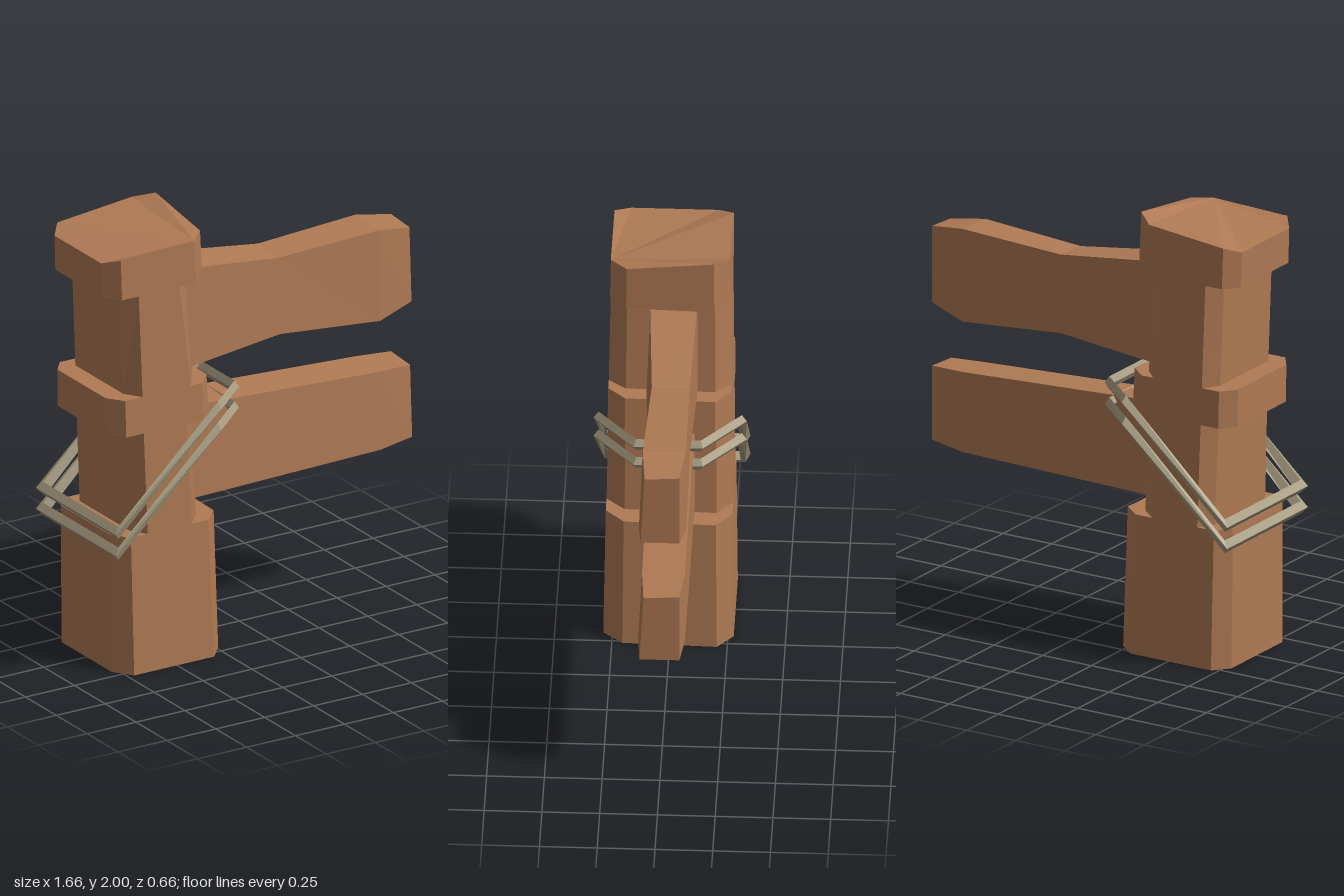
import * as THREE from 'three';

const wood = new THREE.MeshStandardMaterial({ color: 0xb07a54 });
wood.name = 'wood';
const cord = new THREE.MeshStandardMaterial({ color: 0xa59a7f });
cord.name = 'cord';

// Joins matching rings of points with flat faces; rings run counterclockwise seen from the far end.
function loft(name, rings, material, closed = false) {
  const pos = [];
  const tri = (a, b, c) => pos.push(...a, ...b, ...c);
  const n = rings[0].length;
  const last = closed ? rings.length : rings.length - 1;
  for (let r = 0; r < last; r++) {
    const a = rings[r], b = rings[(r + 1) % rings.length];
    for (let i = 0; i < n; i++) {
      const j = (i + 1) % n;
      tri(a[i], a[j], b[j]);
      tri(a[i], b[j], b[i]);
    }
  }
  if (!closed) {
    const a = rings[0], b = rings[rings.length - 1];
    for (let i = 1; i < n - 1; i++) {
      tri(a[0], a[i + 1], a[i]);
      tri(b[0], b[i], b[i + 1]);
    }
  }
  const geo = new THREE.BufferGeometry();
  geo.setAttribute('position', new THREE.Float32BufferAttribute(pos, 3));
  geo.computeVertexNormals();
  const mesh = new THREE.Mesh(geo, material);
  mesh.name = name;
  return mesh;
}

// Chamfered post section: x of left edge, flat start, flat end, right edge
function postRing(y, [x0, x1, x2, x3], lift = [0, 0, 0, 0, 0, 0, 0, 0]) {
  const f = 0.29 - 0.015 * y, b = -0.275 + 0.01 * y, c = 0.205 - 0.008 * y;
  return [
    [x2, f], [x3 - 0.012, c], [x3, -c], [x2 + 0.005, b],
    [x1, b], [x0, -c], [x0, c], [x1, f],
  ].map(([x, z], i) => [x, y + lift[i], z]);
}

// Four-sided beam section
const beamRing = ([x, low, high, front, back]) => [
  [x, low, front], [x, low, back], [x, high, back], [x, high - 0.01, front - 0.017],
];

export function createModel() {
  const model = new THREE.Group();
  model.name = 'signpost';

  // Post: blocks and notches stacked from the ground up
  const parts = [
    ['postBase', 0, [-0.78, -0.72, -0.31, -0.225], 0.64, [-0.785, -0.73, -0.335, -0.245]],
    ['lowerNotch', 0.64, [-0.69, -0.645, -0.42, -0.335], 1.11, [-0.71, -0.66, -0.44, -0.36]],
    ['middleBlock', 1.11, [-0.805, -0.75, -0.355, -0.27], 1.28, [-0.807, -0.753, -0.36, -0.278]],
    ['upperNotch', 1.28, [-0.715, -0.665, -0.42, -0.35], 1.75, [-0.735, -0.68, -0.47, -0.385]],
  ];
  for (const [name, y0, xs0, y1, xs1] of parts) {
    model.add(loft(name, [postRing(y0, xs0), postRing(y1, xs1)], wood));
  }
  // Cap with an uneven cut top
  model.add(loft('postCap', [
    postRing(1.75, [-0.82, -0.765, -0.385, -0.298]),
    postRing(1.94, [-0.825, -0.77, -0.395, -0.308],
      [0.007, 0.015, 0.06, 0.035, -0.003, -0.03, -0.03, -0.005]),
  ], wood));

  // Boards: x, bottom, top, front z, back z
  model.add(loft('upperBoard', [
    [-0.42, 1.285, 1.758, 0.105, -0.115],
    [-0.3, 1.29, 1.75, 0.103, -0.115],
    [0.16, 1.33, 1.69, 0.077, -0.105],
    [0.66, 1.29, 1.715, 0.095, -0.11],
    [0.83, 1.34, 1.69, 0.08, -0.088],
  ].map(beamRing), wood));
  model.add(loft('lowerBoard', [
    [-0.44, 0.67, 1.115, 0.103, -0.105],
    [0.66, 0.69, 1.057, 0.098, -0.105],
    [0.83, 0.71, 1.05, 0.085, -0.088],
  ].map(beamRing), wood));

  // Two cord loops slung around post and lower board: outer x,z, inner x,z, height
  const half = [
    [-0.835, 0.325, -0.785, 0.285, 0],
    [-0.3, 0.332, -0.31, 0.288, 0.475],
    [-0.095, 0.15, -0.13, 0.13, 0.475],
  ];
  const path = [...half, ...half.map(([a, b, c, d, h]) => [a, -b, c, -d, h]).reverse()];
  [['upperCord', 0.69], ['lowerCord', 0.593]].forEach(([name, y]) => {
    const rings = path.map(([ox, oz, ix, iz, h]) => {
      const mx = (ox + ix) / 2, mz = (oz + iz) / 2, cy = y + h;
      return [[ox, cy, oz], [mx, cy + 0.029, mz], [ix, cy, iz], [mx, cy - 0.029, mz]];
    });
    // Section turns counterclockwise around the travel direction
    model.add(loft(name, rings.map((r) => r.reverse()), cord, true));
  });

  return model;
}
